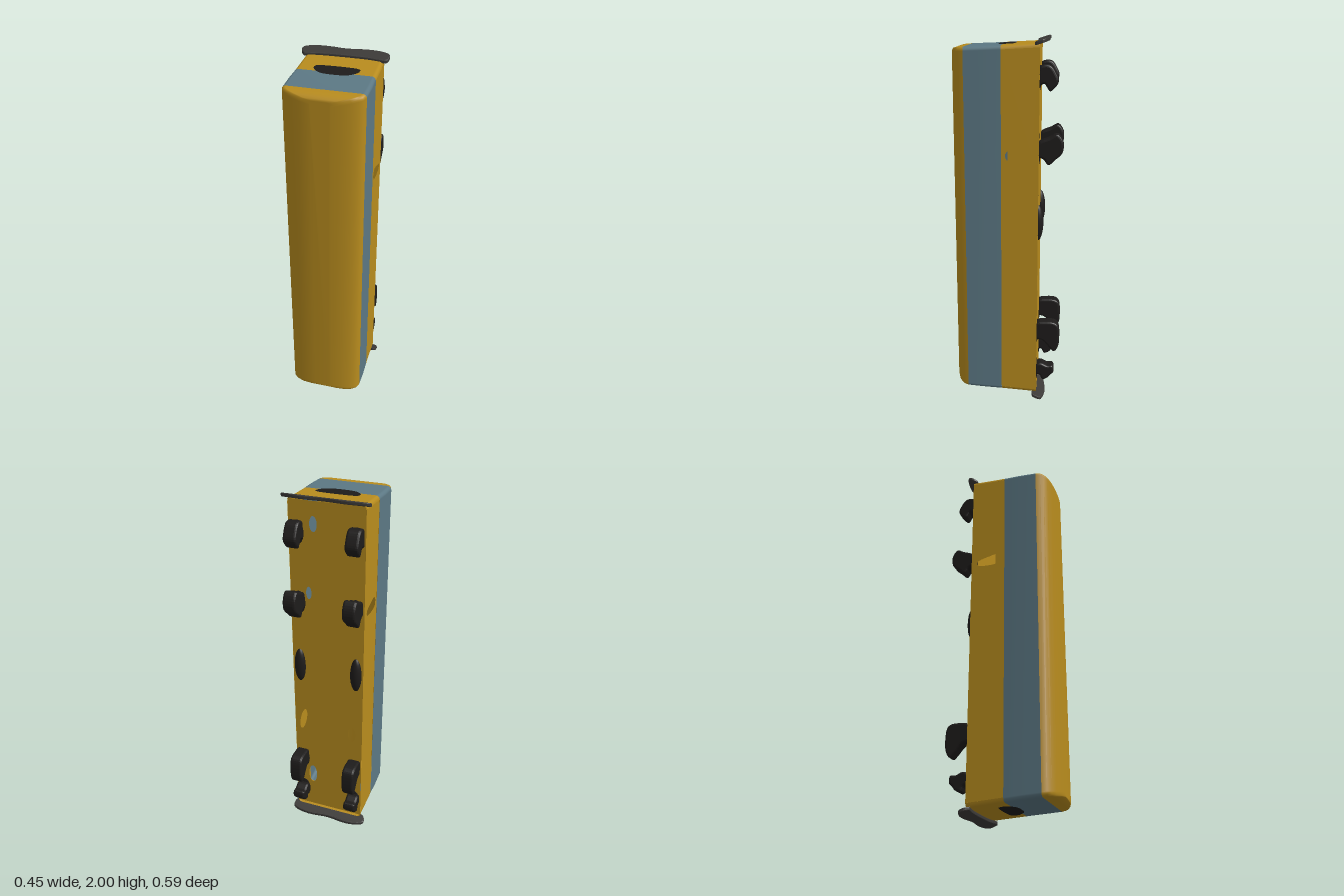
import * as THREE from 'three';

const mat = (color) => new THREE.MeshStandardMaterial({ color, side: THREE.DoubleSide });
const yellow = mat(0xb88c1e), blue = mat(0x5c7884), dark = mat(0x1e1c1b), grey = mat(0x3c3a38);
const v2 = ([a, b]) => new THREE.Vector2(a, b);
const R = 0.02, SEG = 4; // corner radius and steps of the body rings

// Rounded rectangle at height z, as points counterclockwise
function ring([z, w, y0, y1]) {
  const pts = [];
  const corners = [[w - R, y0 + R], [w - R, y1 - R], [R - w, y1 - R], [R - w, y0 + R]];
  corners.forEach(([cx, cy], k) => {
    for (let i = 0; i <= SEG; i++) {
      const a = (k - 1 + i / SEG) * Math.PI / 2;
      pts.push(cx + R * Math.cos(a), cy + R * Math.sin(a), z);
    }
  });
  return pts;
}

// Skin between rings; segments listed in skip stay open, cap closes the first ring
function loft(rings, skip = [], cap = false) {
  const n = 4 * (SEG + 1), index = [];
  const pos = rings.flatMap(ring);
  for (let r = 0; r < rings.length - 1; r++) {
    for (let i = 0; i < n; i++) {
      if (skip.includes(i)) continue;
      const a = r * n + i, b = r * n + (i + 1) % n;
      index.push(a, a + n, b + n, a, b + n, b);
    }
  }
  if (cap) for (let i = 1; i < n - 1; i++) index.push(0, i, i + 1);
  const g = new THREE.BufferGeometry();
  g.setAttribute('position', new THREE.Float32BufferAttribute(pos, 3));
  g.setIndex(index);
  g.computeVertexNormals();
  return g;
}

function smoothShape(points, Type = THREE.Shape) {
  const curve = new THREE.SplineCurve([...points, points[0]].map(v2));
  return new Type(curve.getPoints(points.length * 4).slice(0, -1));
}

function ellipseHole(x, y, rx, ry, turn = 0) {
  return new THREE.Path().absellipse(x, y, rx, ry, 0, Math.PI * 2, false, turn);
}

export function createModel() {
  const model = new THREE.Group();
  const add = (name, geometry, material) => {
    const mesh = new THREE.Mesh(geometry, material);
    mesh.name = name;
    model.add(mesh);
    return mesh;
  };

  // Body standing on its end: domed roof, window band, lower walls
  add('roof', loft([
    [0.295, 0.05, 0.09, 1.925], [0.289, 0.1, 0.083, 1.935], [0.277, 0.145, 0.074, 1.945],
    [0.262, 0.175, 0.069, 1.95], [0.245, 0.194, 0.066, 1.952], [0.22, 0.203, 0.063, 1.953],
  ], [], true), yellow);
  add('windowBand', loft([
    [0.22, 0.203, 0.063, 1.953], [0.12, 0.205, 0.057, 1.957], [0.03, 0.202, 0.051, 1.961],
  ]), blue);
  const low = [[0.03, 0.202, 0.051, 1.961], [-0.165, 0.2, 0.037, 1.972]];
  add('lowerEnds', loft(low, [SEG, 3 * SEG + 2]), yellow);

  // Lower side walls with a slot opening
  const [a, b] = low;
  const wall = new THREE.Shape([
    [a[0], a[2] + R], [a[0], a[3] - R], [b[0], b[3] - R], [b[0], b[2] + R],
  ].map(v2));
  wall.holes.push(smoothShape([
    [0.01, 1.415], [-0.015, 1.44], [-0.06, 1.432], [-0.12, 1.415],
    [-0.13, 1.395], [-0.115, 1.38], [-0.05, 1.375], [0.0, 1.385],
  ], THREE.Path));
  for (const s of [1, -1]) {
    add('sideWall', new THREE.ShapeGeometry(wall).rotateY(-Math.PI / 2), yellow).position.x = s * 0.201;
  }

  // Underside with worn openings
  const floor = new THREE.Shape([[-0.2, 0.055], [0.2, 0.055], [0.2, 1.965], [-0.2, 1.965]].map(v2));
  floor.holes.push(
    ellipseHole(0.07, 1.85, 0.02, 0.04), ellipseHole(0.1, 1.48, 0.015, 0.035),
    ellipseHole(0.15, 0.68, 0.018, 0.07, 0.2), ellipseHole(-0.14, 0.64, 0.022, 0.05),
    ellipseHole(0.1, 0.29, 0.025, 0.06), ellipseHole(-0.14, 0.28, 0.02, 0.04),
  );
  add('underside', new THREE.ShapeGeometry(floor), yellow).position.z = -0.165;

  // Wheels: side profiles as [z, y], given thickness across x
  const wheels = {
    endWheel: [[-0.16, 1.76], [-0.19, 1.775], [-0.215, 1.74], [-0.235, 1.75], [-0.258, 1.785],
      [-0.245, 1.825], [-0.22, 1.86], [-0.185, 1.865], [-0.16, 1.845]],
    upperWheel: [[-0.16, 1.4], [-0.19, 1.39], [-0.215, 1.36], [-0.245, 1.385], [-0.285, 1.425],
      [-0.288, 1.48], [-0.26, 1.518], [-0.22, 1.5], [-0.16, 1.47]],
    lowerWheel: [[-0.16, 0.37], [-0.2, 0.36], [-0.24, 0.315], [-0.265, 0.297], [-0.287, 0.34],
      [-0.286, 0.43], [-0.265, 0.465], [-0.21, 0.47], [-0.16, 0.455]],
    baseWheel: [[-0.16, 0.15], [-0.185, 0.145], [-0.2, 0.118], [-0.23, 0.13], [-0.245, 0.15],
      [-0.26, 0.165], [-0.255, 0.2], [-0.225, 0.2], [-0.19, 0.215], [-0.16, 0.2]],
  };
  for (const [name, profile] of Object.entries(wheels)) {
    const g = new THREE.ExtrudeGeometry(smoothShape(profile), {
      depth: 0.046, bevelThickness: 0.012, bevelSize: 0.012, bevelOffset: -0.01, bevelSegments: 3,
    });
    g.translate(0, 0, -0.023).rotateY(-Math.PI / 2);
    for (const s of [1, -1]) add(name, g, dark).position.x = s * 0.158;
  }

  // Shallow dark pads on the underside
  for (const s of [1, -1]) {
    const pad = add('middlePad', new THREE.SphereGeometry(1, 20, 12), dark);
    pad.scale.set(0.032, 0.1, 0.03);
    pad.position.set(s * 0.16, 1.04, -0.163);
    for (const y of [1.8, 1.42, 0.4, 0.17]) {
      const stain = add('wheelMount', new THREE.SphereGeometry(1, 16, 8), dark);
      stain.scale.set(0.036, 0.065, 0.008);
      stain.position.set(s * 0.155, y, -0.164);
    }
  }

  // Dark windscreen patch on each end, following the slope of the end
  const patch = smoothShape([
    [-0.115, 0.0], [-0.095, 0.032], [-0.05, 0.056], [0.05, 0.056], [0.095, 0.032],
    [0.115, 0.0], [0.09, -0.032], [-0.09, -0.032],
  ]);
  for (const top of [true, false]) {
    const g = new THREE.ShapeGeometry(patch).rotateX(Math.PI / 2);
    const p = g.attributes.position;
    for (let i = 0; i < p.count; i++) {
      const z = p.getZ(i);
      p.setY(i, top ? 1.965 - 0.055 * z : 0.046 + 0.07 * z);
    }
    g.computeVertexNormals();
    add('endWindow', g, dark);
  }

  // Flared bumpers, outline as [x, z], rising towards the back
  const bumper = smoothShape([
    [-0.205, -0.14], [-0.225, -0.165], [-0.213, -0.195], [-0.12, -0.213], [0, -0.203], [0.12, -0.213],
    [0.213, -0.195], [0.225, -0.165], [0.205, -0.14], [0.1, -0.15], [-0.1, -0.15],
  ]);
  const flare = new THREE.ExtrudeGeometry(bumper, {
    depth: 0.01, bevelThickness: 0.004, bevelSize: 0.004, bevelOffset: -0.004, bevelSegments: 2,
  }).rotateX(Math.PI / 2);
  const p = flare.attributes.position;
  for (let i = 0; i < p.count; i++) {
    p.setY(i, p.getY(i) + 1.975 + 0.021 * THREE.MathUtils.clamp((-0.14 - p.getZ(i)) / 0.065, 0, 1));
  }
  flare.computeVertexNormals();
  add('topBumper', flare, grey);
  const lower = add('bottomBumper', flare, grey);
  lower.scale.y = -1;
  lower.position.y = 2;

  return model;
}
